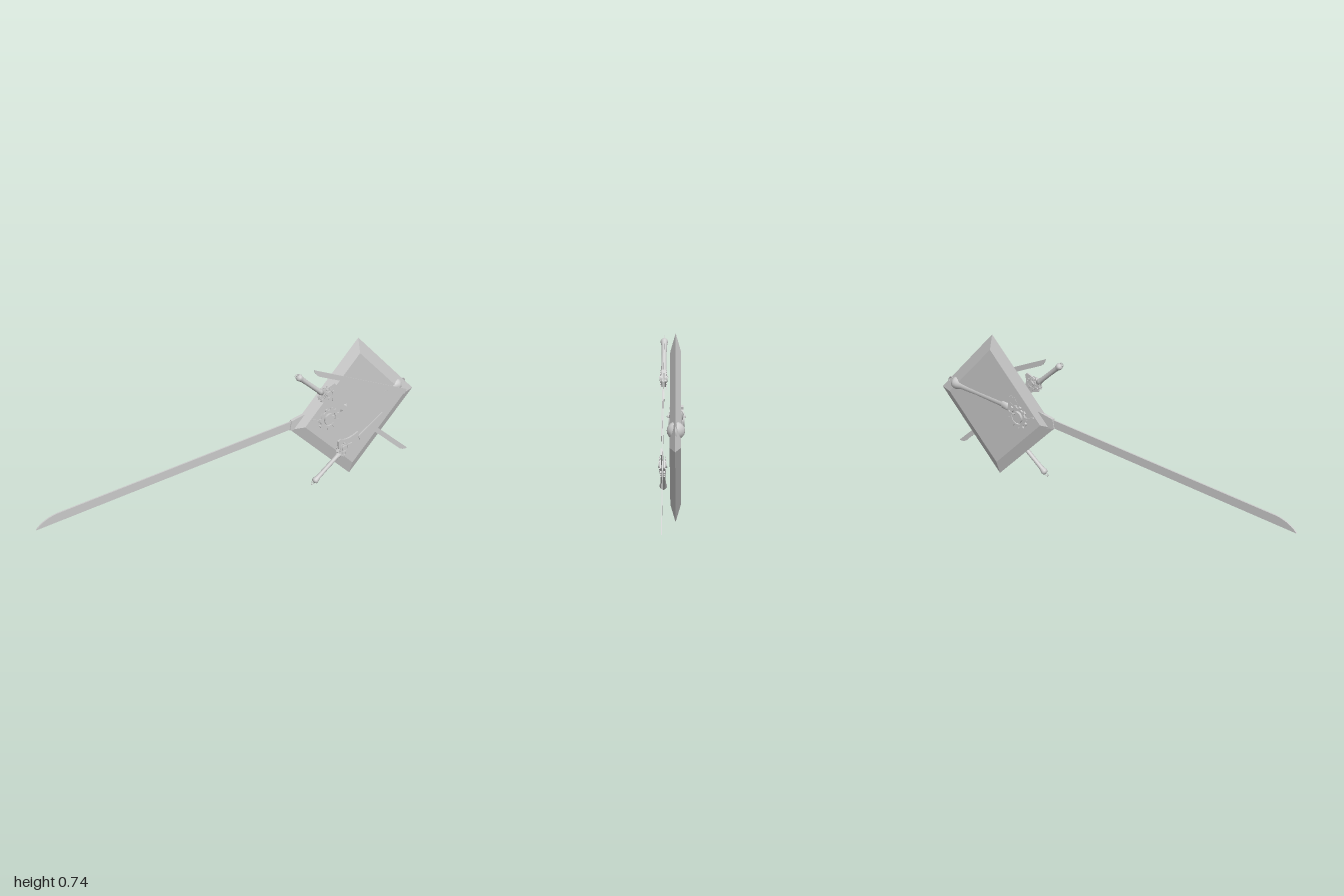
import * as THREE from 'three';

const grey = new THREE.MeshStandardMaterial({ color: 0xcccccc, side: THREE.DoubleSide });
const facet = new THREE.MeshStandardMaterial({ color: 0xcccccc, flatShading: true });

function add(parent, name, geometry, x = 0, y = 0, z = 0, material = grey) {
  const mesh = new THREE.Mesh(geometry, material);
  mesh.name = name;
  mesh.position.set(x, y, z);
  parent.add(mesh);
  return mesh;
}

// Flat shape extruded evenly about z = 0
function plate(shape, depth) {
  return new THREE.ExtrudeGeometry(shape, { depth, bevelEnabled: false, curveSegments: 8 }).translate(0, 0, -depth / 2);
}

// Toothed ring
function gearShape(outer, inner, teeth) {
  const pts = [];
  for (let i = 0; i < teeth; i++) {
    [[0, 0.82], [0.5, 0.82], [0.55, 1], [0.95, 1]].forEach(([f, r]) => {
      const a = ((i + f) / teeth) * Math.PI * 2;
      pts.push(new THREE.Vector2(Math.cos(a) * outer * r, Math.sin(a) * outer * r));
    });
  }
  const shape = new THREE.Shape(pts);
  shape.holes.push(new THREE.Path().absarc(0, 0, inner, 0, Math.PI * 2, true));
  return shape;
}

// Single-edged blade along +x with a swept point
function blade(parent, start, width) {
  const h = width / 2;
  const s = new THREE.Shape();
  s.moveTo(start, -h);
  s.lineTo(0.905, -h);
  s.quadraticCurveTo(0.935, -h * 0.7, 0.951, h);
  s.lineTo(start, h);
  s.closePath();
  add(parent, 'blade', plate(s, 0.003));
}

// Pommel, grip and geared guard, running along +x from the pommel ring
function hilt(parent) {
  add(parent, 'pommelRing', new THREE.TorusGeometry(0.009, 0.0018, 6, 16), 0.011);
  const grip = [[0, 0.017], [0.008, 0.018], [0.0145, 0.023], [0.016, 0.03], [0.0145, 0.038], [0.0115, 0.052],
    [0.0105, 0.1], [0.011, 0.185], [0.0135, 0.187], [0.0135, 0.205], [0, 0.205]];
  const g = new THREE.LatheGeometry(grip.map(p => new THREE.Vector2(...p)), 20);
  add(parent, 'grip', g.rotateZ(-Math.PI / 2));

  const gx = 0.237, gy = 0.014;
  add(parent, 'gearDrum', new THREE.CylinderGeometry(0.014, 0.014, 0.031, 16).rotateX(Math.PI / 2), gx, gy, 0);
  add(parent, 'guardBlock', new THREE.BoxGeometry(0.06, 0.036, 0.018), gx - 0.008, 0.004, 0);
  [-1, 1].forEach(side => {
    add(parent, 'gear', plate(gearShape(0.029, 0.018, 11), 0.004), gx, gy, side * 0.0115);
    add(parent, 'smallGear', plate(gearShape(0.015, 0.006, 8), 0.005), gx - 0.018, -0.018, side * 0.007);
    add(parent, 'guardPin', new THREE.BoxGeometry(0.058, 0.003, 0.004), gx + 0.022, 0.012, side * 0.0115).rotation.z = -0.45;
    const loop = add(parent, 'guardLoop', new THREE.TorusGeometry(0.009, 0.0012, 6, 12, Math.PI), gx - 0.012, 0.006, side * 0.009);
    loop.rotation.x = side * Math.PI / 2;
  });

  // Curved horn and collar leading into the blade
  const horn = new THREE.Shape();
  horn.moveTo(0.215, 0.03);
  horn.lineTo(0.235, 0.068);
  horn.lineTo(0.252, 0.066);
  horn.quadraticCurveTo(0.268, 0.025, 0.34, 0.011);
  horn.lineTo(0.335, -0.012);
  horn.lineTo(0.27, -0.02);
  horn.lineTo(0.235, -0.036);
  horn.lineTo(0.215, -0.02);
  add(parent, 'guardHorn', plate(horn, 0.007));
}

function weapon(name, x, y, z, angle, scale = 1) {
  const g = new THREE.Group();
  g.name = name;
  g.position.set(x, y, z);
  g.rotation.z = angle;
  g.scale.setScalar(scale);
  return g;
}

export function createModel() {
  const model = new THREE.Group();

  // Square plaque on its corner, bevelled on both faces
  const profile = [[0, -0.0205], [0.3, -0.0205], [0.371, 0], [0.3, 0.0205], [0, 0.0205]];
  const board = new THREE.LatheGeometry(profile.map(p => new THREE.Vector2(...p)), 4);
  add(model, 'plaque', board.rotateX(Math.PI / 2), 0.628, 0.371, -0.018, facet);

  // Long sword running through the plaque
  const long = weapon('longSword', 0.948, 0.426, -0.02, Math.PI + 0.047, 2.05);
  hilt(long);
  blade(long, 0.27, 0.0198);

  // Short sword in front of the plaque
  const short = weapon('shortSword', 0.24, 0.683, 0.031, -0.728);
  hilt(short);
  blade(short, 0.27, 0.024);

  // Second hilt with a stub collar
  const second = weapon('secondHilt', 0.352, 0.058, 0.034, 0.635);
  hilt(second);
  add(second, 'collarBar', new THREE.BoxGeometry(0.17, 0.026, 0.005), 0.41, -0.034, 0).rotation.z = -0.08;

  // Loose blade across the upper right
  const loose = weapon('looseBlade', 1.2, 0.264, 0.031, 2.705);
  const flip = new THREE.Group();
  flip.name = 'looseBladeBody';
  flip.rotation.x = Math.PI;
  blade(flip, 0.32, 0.024);
  loose.add(flip);

  model.add(long, short, second, loose);
  return model;
}
